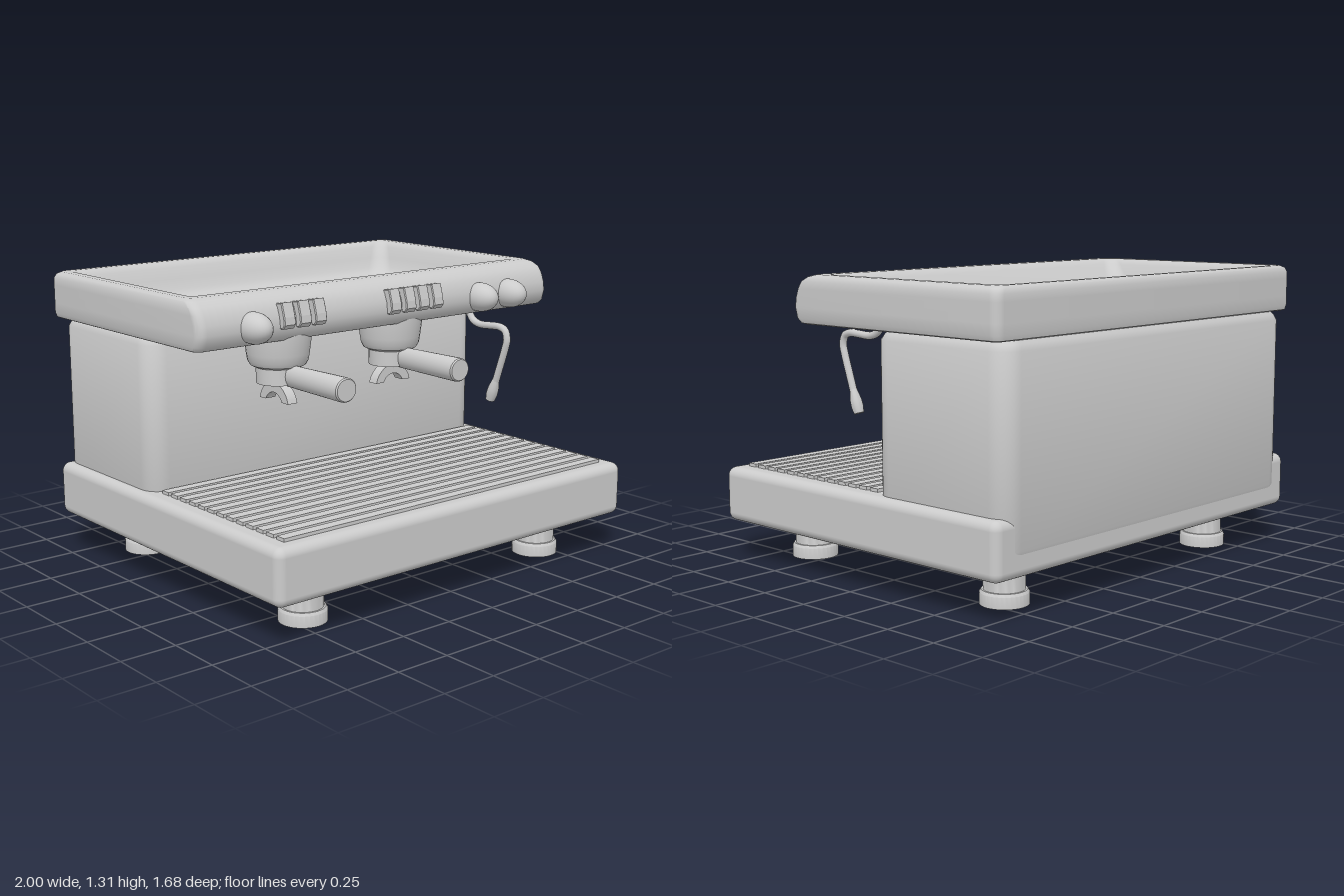
import * as THREE from 'three';
import { toCreasedNormals } from 'three/addons/utils/BufferGeometryUtils.js';
import { RoundedBoxGeometry } from 'three/addons/geometries/RoundedBoxGeometry.js';

const material = new THREE.MeshStandardMaterial({ color: 0xcccccc });

function add(parent, name, geometry, x = 0, y = 0, z = 0) {
  const mesh = new THREE.Mesh(geometry, material);
  mesh.name = name;
  mesh.position.set(x, y, z);
  parent.add(mesh);
  return mesh;
}

// Closed skin over rounded rectangles: [y, half width, back z, front z, corner radius]
function loft(rings, steps = 8) {
  const pos = [], index = [], n = 4 * (steps + 1);
  for (const [y, hx, back, front, r] of rings) {
    for (let k = 0; k < 4; k++) {
      const cx = k === 0 || k === 3 ? hx - r : r - hx;
      const cz = k < 2 ? front - r : back + r;
      for (let i = 0; i <= steps; i++) {
        const a = (k + i / steps) * Math.PI / 2;
        pos.push(cx + r * Math.cos(a), y, cz + r * Math.sin(a));
      }
    }
  }
  const last = rings.length - 1;
  for (const i of [0, last]) pos.push(0, rings[i][0], (rings[i][2] + rings[i][3]) / 2);
  const bottom = rings.length * n;
  for (let j = 0; j < n; j++) {
    const k = (j + 1) % n;
    for (let i = 0; i < last; i++) {
      const a = i * n + j, b = i * n + k;
      index.push(a, a + n, b, b, a + n, b + n);
    }
    index.push(bottom, j, k, bottom + 1, last * n + k, last * n + j);
  }
  const g = new THREE.BufferGeometry();
  g.setAttribute('position', new THREE.Float32BufferAttribute(pos, 3));
  g.setIndex(index);
  return toCreasedNormals(g, 0.7);
}

function lathe(points, segments = 32) {
  const g = new THREE.LatheGeometry(points.map(p => new THREE.Vector2(...p)), segments);
  return toCreasedNormals(g, 0.6);
}

// Brewing group with its portafilter; spoutTurn rotates the double spout
function brewGroup(x, spoutTurn) {
  const group = new THREE.Group();
  group.name = 'brewGroup';
  group.position.set(x, 0, 0.182);
  add(group, 'groupHead', lathe([[0, 0.97], [0.1, 0.97], [0.12, 0.98], [0.131, 1.0],
    [0.136, 1.03], [0.145, 1.1], [0.145, 1.13], [0, 1.13]]));
  add(group, 'filterBasket', lathe([[0, 0.9], [0.095, 0.9], [0.095, 0.975], [0, 0.975]]));

  // Handle narrows sideways towards the basket
  const handle = lathe([[0, 0], [0.048, 0], [0.052, 0.36], [0.051, 0.374], [0.046, 0.38], [0, 0.38]], 24);
  handle.rotateX(Math.PI / 2);
  const p = handle.attributes.position;
  for (let i = 0; i < p.count; i++) {
    p.setX(i, p.getX(i) * (0.62 + 0.46 * Math.max(0, p.getZ(i) - 0.08) / 0.3));
  }
  add(group, 'handle', toCreasedNormals(handle, 0.6), 0, 0.939, 0.076);

  // Arched double spout
  const arch = new THREE.Shape();
  arch.absarc(0, 0, 0.102, 0.22, Math.PI - 0.22, false);
  arch.absarc(0, 0, 0.06, Math.PI - 0.4, 0.4, true);
  const spout = new THREE.ExtrudeGeometry(arch, { depth: 0.05, bevelEnabled: false, curveSegments: 16 });
  spout.translate(0, 0, -0.025);
  add(group, 'spout', toCreasedNormals(spout, 0.5), 0, 0.798, 0).rotation.y = spoutTurn;
  add(group, 'spoutNeck', new THREE.CylinderGeometry(0.028, 0.024, 0.045, 16), 0, 0.885, 0);
  return group;
}

export function createModel() {
  const model = new THREE.Group();
  model.name = 'espressoMachine';

  add(model, 'base', new RoundedBoxGeometry(2, 0.245, 1.675, 5, 0.04), 0, 0.3, 0.003);

  // Back housing, its rear skirt easing into the base
  add(model, 'body', loft([
    [0.25, 0.94, -0.825, -0.12, 0.08], [0.29, 0.955, -0.84, -0.105, 0.09],
    [1.06, 0.955, -0.84, -0.105, 0.09], [1.085, 0.942, -0.83, -0.118, 0.085],
    [1.11, 0.92, -0.81, -0.142, 0.08],
  ]));

  // Overhanging head with a rounded nose and a deep, softly curved cup tray
  add(model, 'headWithCupTray', loft([
    [1.1, 0.98, -0.82, 0.29, 0.03], [1.105, 0.992, -0.835, 0.31, 0.035],
    [1.125, 1, -0.84, 0.33, 0.04], [1.17, 1, -0.84, 0.342, 0.04],
    [1.21, 1, -0.84, 0.337, 0.04], [1.25, 1, -0.84, 0.322, 0.04],
    [1.28, 1, -0.84, 0.3, 0.04], [1.3, 0.99, -0.832, 0.268, 0.04],
    [1.31, 0.97, -0.815, 0.23, 0.04], [1.31, 0.935, -0.79, 0.19, 0.04],
    [1.303, 0.92, -0.775, 0.17, 0.05], [1.283, 0.907, -0.76, 0.15, 0.06],
    [1.23, 0.888, -0.738, 0.115, 0.07], [1.185, 0.87, -0.718, 0.075, 0.08],
    [1.16, 0.85, -0.698, 0.035, 0.08], [1.148, 0.82, -0.67, -0.01, 0.08],
    [1.145, 0.785, -0.635, -0.05, 0.08], [1.145, 0.75, -0.6, -0.09, 0.08],
  ]));

  // Feet
  const foot = lathe([[0, 0], [0.104, 0], [0.104, 0.05], [0.096, 0.062], [0.088, 0.062], [0.088, 0.19], [0, 0.19]]);
  for (const x of [-0.692, 0.685]) {
    for (const z of [-0.585, 0.597]) add(model, 'foot', foot, x, 0, z);
  }

  // Drip grille
  const bar = new THREE.BoxGeometry(1.835, 0.03, 0.048);
  for (let i = 0; i < 13; i++) add(model, 'grilleBar', bar, 0, 0.422, 0.746 - i * 0.0675);

  model.add(brewGroup(-0.493, Math.PI / 2), brewGroup(0.14, 0));

  // Push buttons: a leaning face with a bevelled lower lip
  const side = new THREE.Shape([[0.29, 1.16], [0.358, 1.16], [0.372, 1.178], [0.368, 1.21],
    [0.35, 1.27], [0.3, 1.262]].map(([z, y]) => new THREE.Vector2(z, y)));
  const button = new THREE.ExtrudeGeometry(side, {
    depth: 0.052, bevelSize: 0.004, bevelThickness: 0.004, bevelOffset: -0.004, bevelSegments: 1,
  });
  button.translate(0, 0, -0.026).rotateY(-Math.PI / 2);
  for (const x of [-0.57, -0.486, -0.405, 0.014, 0.1, 0.18, 0.263]) add(model, 'button', button, x);

  // Steam and water knobs
  const knob = new THREE.SphereGeometry(0.066, 28, 20);
  knob.scale(1, 1, 1.5);
  for (const x of [-0.732, 0.55, 0.735]) add(model, 'knob', knob, x, 1.18, 0.34);

  // Steam wand with a thicker nozzle
  const path = new THREE.CatmullRomCurve3([
    [1.13, 0.163], [1.08, 0.17], [1.045, 0.195], [1.03, 0.24], [1.032, 0.31], [1.034, 0.37],
    [1.02, 0.405], [0.98, 0.418], [0.93, 0.406], [0.85, 0.379], [0.75, 0.345],
  ].map(([y, z]) => new THREE.Vector3(0.652, y, z)));
  add(model, 'steamWand', new THREE.TubeGeometry(path, 60, 0.017, 12));
  const nozzle = lathe([[0, 0], [0.022, 0], [0.027, 0.03], [0.026, 0.06], [0.019, 0.095], [0.016, 0.11], [0, 0.11]], 20);
  add(model, 'steamNozzle', nozzle, 0.652, 0.68, 0.32).rotation.x = 0.33;

  return model;
}
